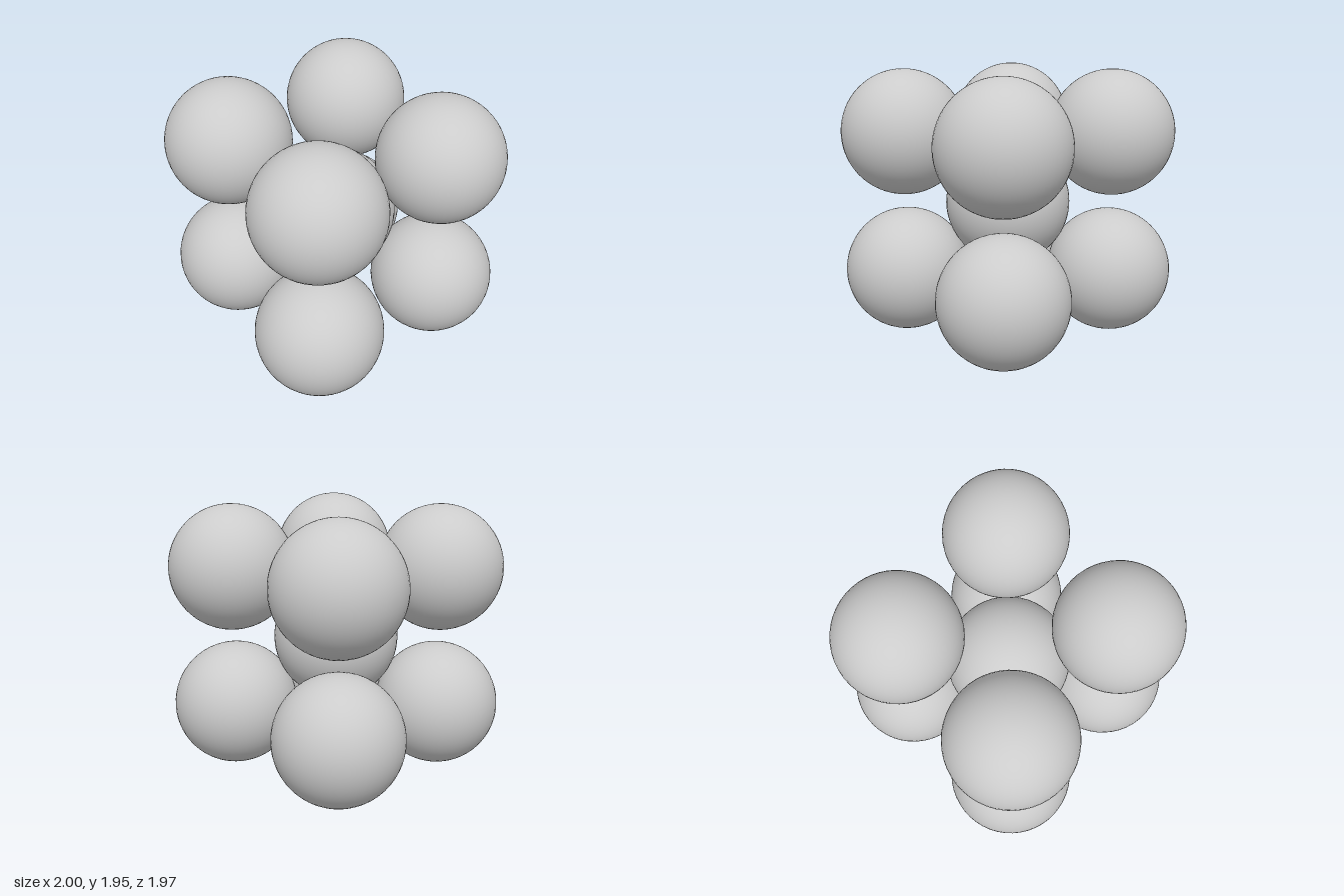
import * as THREE from 'three';

const RADIUS = 0.458;
// Half spacing of the corner spheres along each axis; each just touches the central one.
const HALF = new THREE.Vector3(0.542, 0.518, 0.528);

export function createModel() {
  const model = new THREE.Group();
  model.name = 'bodyCentredLattice';

  const material = new THREE.MeshStandardMaterial({ color: 0xcccccc });
  const geometry = new THREE.SphereGeometry(RADIUS, 48, 32);

  function addSphere(name, x, y, z) {
    const sphere = new THREE.Mesh(geometry, material);
    sphere.name = name;
    sphere.position.set(x * HALF.x, y * HALF.y + HALF.y + RADIUS, z * HALF.z);
    model.add(sphere);
  }

  // Sphere in the middle of the cell
  addSphere('centreSphere', 0, 0, 0);

  // One sphere at each of the eight corners
  for (const [x, side] of [[-1, 'Right'], [1, 'Left']])
    for (const [y, level] of [[-1, 'lower'], [1, 'upper']])
      for (const [z, depth] of [[-1, 'Back'], [1, 'Front']])
        addSphere(`${level}${depth}${side}Sphere`, x, y, z);

  return model;
}
